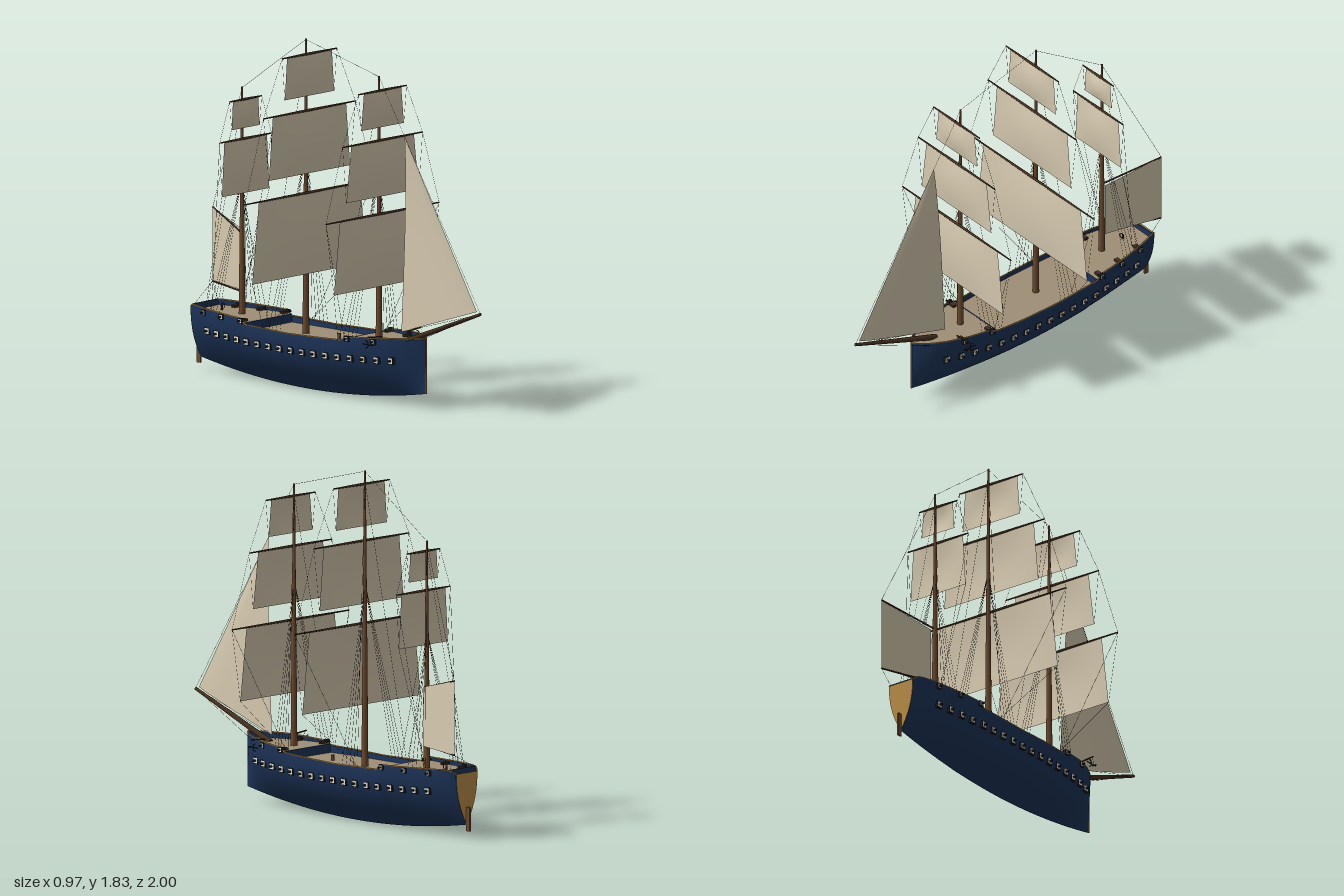
import * as THREE from 'three';

const mat = (name, color, side = THREE.FrontSide) => {
  const m = new THREE.MeshStandardMaterial({ color, side });
  m.name = name;
  return m;
};
const V = (x, y, z) => new THREE.Vector3(x, y, z);

// Linear interpolation in a short table of [z, value]
function table(pts, z) {
  if (z <= pts[0][0]) return pts[0][1];
  for (let i = 1; i < pts.length; i++) {
    const [z0, a] = pts[i - 1], [z1, b] = pts[i];
    if (z <= z1) return a + (b - a) * (z - z0) / (z1 - z0);
  }
  return pts[pts.length - 1][1];
}
const STERN = -0.975, BOW = 0.615;
const BEAM = [[-0.975, 0.077], [-0.95, 0.096], [-0.9, 0.114], [-0.85, 0.128], [-0.75, 0.149], [-0.62, 0.168],
  [-0.5, 0.178], [-0.25, 0.184], [0, 0.182], [0.2, 0.167], [0.35, 0.143], [0.45, 0.113], [0.53, 0.074],
  [0.58, 0.037], [0.605, 0.014], [0.615, 0.002]];
const SHEER = [[-0.975, 0.345], [-0.94, 0.365], [-0.7, 0.357], [-0.54, 0.352], [-0.5, 0.325], [-0.2, 0.318],
  [0.17, 0.328], [0.23, 0.35], [0.42, 0.363], [0.615, 0.37]];
const beam = z => table(BEAM, z);
const sheer = z => table(SHEER, z);
const keel = z => 0.002 + 0.076 * ((z + 0.2) / 0.8) ** 2;
// Half width of the hull at a height
function halfAt(z, y) {
  const s = THREE.MathUtils.clamp((y - keel(z)) / (sheer(z) - keel(z)), 0, 1);
  return beam(z) * (1 - (1 - s) ** 2.2);
}

// Grid surface from a rule f(u, v)
function grid(nu, nv, f) {
  const pos = [], idx = [];
  for (let i = 0; i <= nu; i++) for (let j = 0; j <= nv; j++) pos.push(...f(i / nu, j / nv));
  for (let i = 0; i < nu; i++) for (let j = 0; j < nv; j++) {
    const a = i * (nv + 1) + j, b = a + nv + 1;
    idx.push(a, b, a + 1, b, b + 1, a + 1);
  }
  const g = new THREE.BufferGeometry();
  g.setAttribute('position', new THREE.Float32BufferAttribute(pos, 3));
  g.setIndex(idx);
  g.computeVertexNormals();
  return g;
}

export function createModel() {
  const ship = new THREE.Group();
  ship.name = 'sailingShip';
  const M = {
    hull: mat('navy hull', 0x1d3459, THREE.DoubleSide),
    gold: mat('ochre trim', 0xba8e48, THREE.DoubleSide),
    deck: mat('deck planking', 0x9f8f75, THREE.DoubleSide),
    wood: mat('mast wood', 0x6b4a2e),
    dark: mat('dark spar wood', 0x452f1e),
    sail: mat('canvas', 0xd7cbb1, THREE.DoubleSide),
    rope: mat('rope', 0x3a3026),
    port: mat('white gun port', 0xf0eee8),
    iron: mat('iron', 0x1e1e20),
  };
  const add = (name, geo, material, p = [0, 0, 0], parent = ship) => {
    const m = new THREE.Mesh(geo, material);
    m.name = name;
    m.position.set(...p);
    parent.add(m);
    return m;
  };
  const box = (name, size, material, p, parent) => add(name, new THREE.BoxGeometry(...size), material, p, parent);
  // Round bar between two points
  const bar = (name, a, b, r0, r1, material, sides = 10, parent = ship) => {
    const d = b.clone().sub(a);
    const m = add(name, new THREE.CylinderGeometry(r1, r0, d.length(), sides), material, [0, 0, 0], parent);
    m.position.copy(a).add(b).multiplyScalar(0.5);
    m.quaternion.setFromUnitVectors(V(0, 1, 0), d.normalize());
    return m;
  };
  const rope = (name, a, b) => bar(name, a, b, 0.0008, 0.0008, M.rope, 4);

  // Hull sides, transom, stem and rails
  for (const s of [1, -1]) {
    add('hullSide', grid(90, 18, (u, v) => {
      const z = STERN + (BOW - STERN) * u, y = keel(z) + (sheer(z) - keel(z)) * v;
      return [s * halfAt(z, y), y, z];
    }), M.hull);
    const pts = [];
    for (let i = 0; i <= 60; i++) {
      const z = STERN + (BOW - STERN) * i / 60;
      pts.push(V(s * (beam(z) - 0.003), sheer(z), z));
    }
    add('rail', new THREE.TubeGeometry(new THREE.CatmullRomCurve3(pts), 120, 0.004, 6), M.gold);
  }
  add('transom', grid(14, 2, (u, v) => {
    const y = keel(STERN) + (sheer(STERN) - keel(STERN)) * u;
    return [(v * 2 - 1) * halfAt(STERN, y), y, STERN - 0.001];
  }), M.gold);
  box('stem', [0.007, 0.285, 0.004], M.gold, [0, 0.224, 0.614]);
  box('sternRail', [0.19, 0.04, 0.008], M.hull, [0, 0.346, -0.945]);
  box('rudder', [0.01, 0.125, 0.025], M.wood, [0, 0.103, -0.9875]);

  // Decks and the bulkheads at their steps
  const deck = (name, z0, z1, y) => add(name, grid(1, 40, (u, v) => {
    const z = z0 + (z1 - z0) * v;
    return [(u * 2 - 1) * halfAt(z, y) * 0.99, y, z];
  }), M.deck);
  deck('mainDeck', -0.5, 0.18, 0.29);
  deck('foredeck', 0.18, 0.61, 0.335);
  deck('quarterdeck', STERN, -0.5, 0.335);
  box('foreBulkhead', [0.326, 0.046, 0.006], M.hull, [0, 0.313, 0.18]);
  box('aftBulkhead', [0.346, 0.044, 0.006], M.hull, [0, 0.312, -0.5]);
  add('capstan', new THREE.CylinderGeometry(0.009, 0.009, 0.03, 10), M.wood, [0, 0.305, 0]);
  add('wheel', new THREE.TorusGeometry(0.014, 0.002, 6, 16), M.dark, [0, 0.358, -0.82]);
  box('wheelPost', [0.006, 0.03, 0.008], M.dark, [0, 0.348, -0.828]);

  // Gun port with a dark frame, white face and muzzle; deck guns also get a carriage
  const gun = (z, y, s, onDeck) => {
    const g = new THREE.Group();
    g.name = onDeck ? 'deckGun' : 'gun';
    g.position.set(s * halfAt(z, y), y, z);
    if (s < 0) g.rotation.y = Math.PI;
    const h = onDeck ? 0.028 : 0.036;
    box('portFrame', [0.016, h, h], M.iron, [0, 0, 0], g);
    box('portFace', [0.004, h - 0.008, h - 0.008], M.port, [0.0075, 0, 0], g);
    bar('barrel', V(onDeck ? -0.045 : -0.01, 0, 0), V(0.024, 0, 0), 0.0075, 0.0055, M.iron, 10, g);
    if (onDeck) box('carriage', [0.03, 0.016, 0.024], M.dark, [-0.028, 0, 0], g);
    ship.add(g);
  };
  for (const s of [1, -1]) {
    for (let i = 0; i < 17; i++) {
      const z = 0.457 - i * 0.0794;
      gun(z, 0.231 + 0.036 * (z + 0.2) ** 2, s, false);
    }
    for (const z of [0.37, 0.21, -0.53, -0.68, -0.83]) gun(z, 0.34, s, true);

    // Cathead and anchor
    bar('cathead', V(s * 0.1, 0.365, 0.39), V(s * 0.2, 0.375, 0.39), 0.004, 0.004, M.dark, 6);
    bar('anchorShank', V(s * 0.193, 0.335, 0.345), V(s * 0.193, 0.335, 0.42), 0.003, 0.003, M.iron, 6);
    bar('anchorStock', V(s * 0.18, 0.335, 0.41), V(s * 0.206, 0.335, 0.41), 0.003, 0.003, M.iron, 6);
    const arms = add('anchorArms', new THREE.TorusGeometry(0.02, 0.003, 6, 12, Math.PI), M.iron, [s * 0.193, 0.335, 0.365]);
    arms.rotation.set(0, Math.PI / 2, Math.PI / 2);
    rope('anchorRope', V(s * 0.193, 0.375, 0.39), V(s * 0.193, 0.335, 0.41));
  }

  // Masts; each sail is [yard y, yard half, head half, foot y, foot half]
  const masts = [
    { name: 'fore', z: 0.28, top: 1.70, shroud: 1.2, sails: [[0.985, 0.425, 0.32, 0.605, 0.365],
      [1.37, 0.30, 0.235, 1.075, 0.272], [1.63, 0.18, 0.14, 1.437, 0.16]] },
    { name: 'main', z: -0.235, top: 1.83, shroud: 1.25, sails: [[1.03, 0.485, 0.38, 0.605, 0.43],
      [1.46, 0.345, 0.275, 1.13, 0.305], [1.755, 0.205, 0.168, 1.535, 0.185]] },
    { name: 'mizzen', z: -0.685, top: 1.52, shroud: 1.05, sails: [[1.255, 0.195, 0.16, 0.97, 0.178],
      [1.46, 0.12, 0.095, 1.31, 0.105]] },
  ];
  for (const m of masts) {
    bar(m.name + 'Mast', V(0, 0.28, m.z), V(0, m.top, m.z), 0.018, 0.005, M.wood, 14);
    const yz = m.z + 0.025;
    m.sails.forEach(([y, half, head, footY, foot], i) => {
      for (const s of [1, -1]) {
        bar(m.name + 'Yard', V(0, y, yz), V(s * half, y, yz), 0.007, 0.0035, M.dark, 8);
        rope('sheet', V(s * half, y, yz), V(s * foot, footY, yz));
        const next = m.sails[i + 1];
        if (next) rope('lift', V(s * half, y, yz), V(s * next[1], next[0], yz));
        if (i === 0) {
          const bz = m.z - 0.13;
          rope('clewLine', V(s * foot, footY, yz), V(s * beam(bz), sheer(bz), bz));
          rope('brace', V(s * half, y, yz), V(s * beam(bz) * 0.9, sheer(bz), bz + 0.03));
        }
      }
      add(m.name + 'Sail', grid(12, 10, (u, v) => {
        const w = head + (foot - head) * v;
        return [(u * 2 - 1) * w, y + (footY - y) * v, yz + 0.014 * Math.sin(Math.PI * v) * Math.sin(Math.PI * u)];
      }), M.sail);
    });
    // Shrouds and backstays
    for (const s of [1, -1]) for (let k = 0; k < 5; k++) {
      const fz = m.z - 0.015 - k * 0.027;
      rope('shroud', V(0, k < 4 ? m.shroud : m.top - 0.05, m.z), V(s * beam(fz) * 0.98, sheer(fz), fz));
    }
  }

  // Bowsprit, jib and stays
  const tip = V(0, 0.545, 0.995);
  bar('bowsprit', V(0, 0.33, 0.45), tip, 0.016, 0.008, M.dark, 10);
  const jibHead = V(0, 1.41, 0.46), tack = V(0, 0.555, 0.97), clew = V(0, 0.375, 0.41);
  add('jib', grid(14, 8, (u, v) => {
    const p = jibHead.clone().lerp(tack.clone().lerp(clew, v), u);
    return [0.03 * (1 - (1 - u) ** 4) * Math.sqrt(v), p.y, p.z];
  }), M.sail);
  const peak = V(0.11, 0.838, -0.995);
  const line = [tip, ...masts.map(m => V(0, m.top - 0.004, m.z)), peak];
  for (let i = 1; i < line.length; i++) rope('topStay', line[i - 1], line[i]);
  rope('jibSheet', clew, tip);
  for (const s of [1, -1]) rope('bowspritGuy', V(s * 0.07, 0.35, 0.53), tip);

  // Spanker with its gaff and boom, swung to the left
  const throat = V(0.026, 0.76, -0.685), boomIn = V(0.026, 0.45, -0.685), boomOut = V(0.11, 0.45, -0.995);
  add('spanker', grid(8, 8, (u, v) =>
    throat.clone().lerp(peak, u).lerp(boomIn.clone().lerp(boomOut, u), v).toArray()), M.sail);
  bar('gaff', V(0, 0.755, -0.685), peak, 0.005, 0.004, M.dark, 8);
  bar('boom', V(0, 0.45, -0.685), boomOut, 0.005, 0.004, M.dark, 8);
  for (const s of [1, -1]) rope('boomSheet', boomOut, V(s * 0.09, 0.362, -0.94));
  return ship;
}
